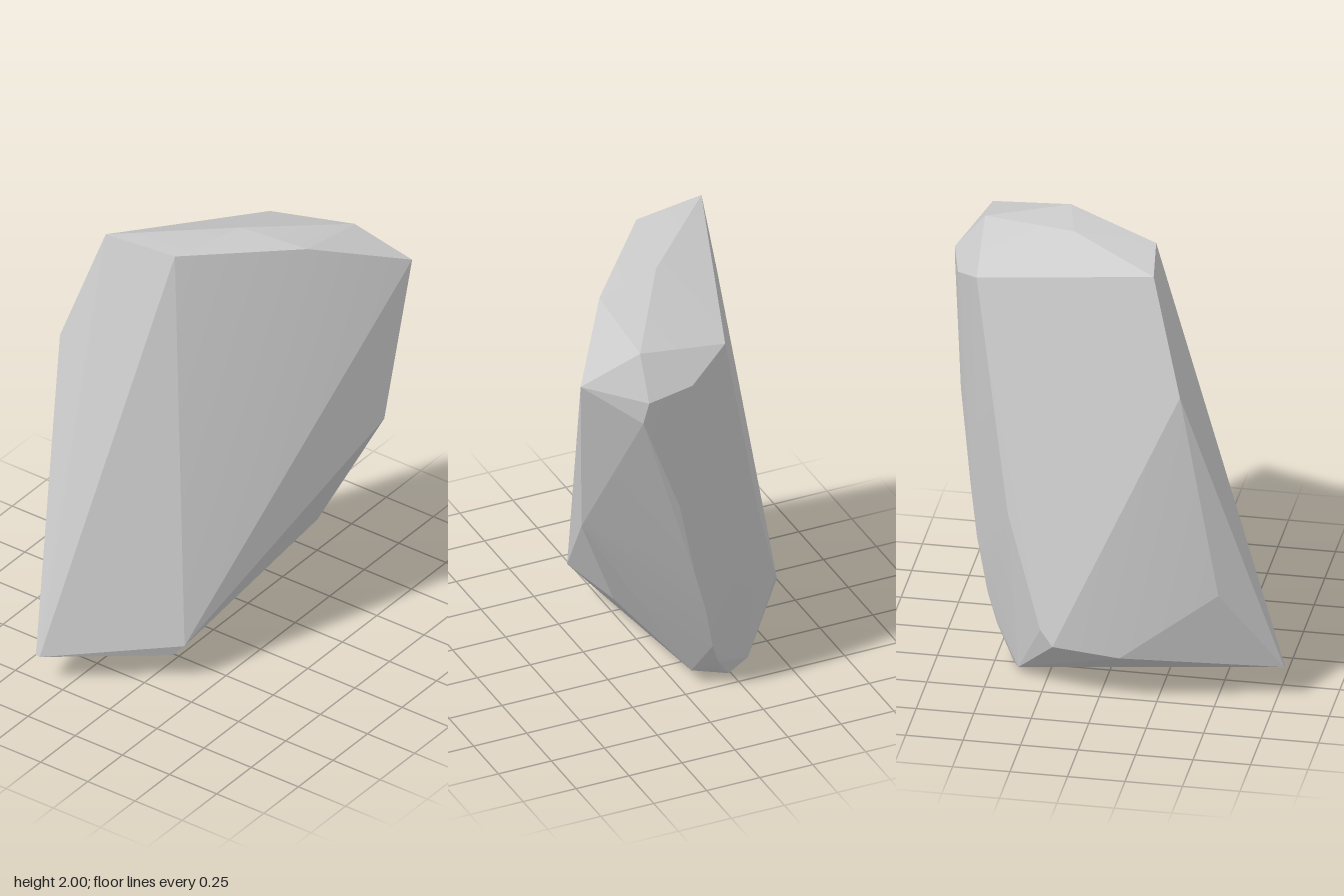
import * as THREE from 'three';
import { ConvexGeometry } from 'three/addons/geometries/ConvexGeometry.js';
import { toCreasedNormals } from 'three/addons/utils/BufferGeometryUtils.js';

// Corner points of the boulder, grouped by region
const crown = [
  [-0.41, 2, 0.22], [-0.08, 1.99, 0.17], [0.3, 1.94, -0.27], [0.57, 1.78, -0.66],
  [0, 1.97, -0.2], [0.28, 1.86, -0.64],
];
const backRim = [
  [-0.14, 1.78, -0.6], [0.07, 1.69, -0.72], [0.3, 1.69, -0.775], [0.33, 1.6, -0.78],
];
const backRidge = [
  [0.13, 1.1, -0.718], [0.03, 0.7, -0.658], [-0.04, 0.48, -0.617],
  [-0.1, 0.25, -0.56], [-0.15, 0.13, -0.51], [-0.17, 0.06, -0.462],
];
const leftFlank = [[0.51, 1, -0.54], [0.28, 0.48, -0.37]];
const rightFlank = [
  [-0.55, 1.5, 0.36], [-0.51, 0.54, 0.52], [-0.575, 0.26, -0.19],
  [-0.57, 0.23, 0.1], [-0.54, 0.32, -0.25], [-0.38, 0.78, -0.42],
];
const foot = [
  [-0.37, 0.15, 0.78], [-0.35, 0.145, 0.78], [0.14, 0.19, 0.4], [0.09, 0.135, 0.42],
  [-0.24, 0, -0.42], [-0.35, 0.03, -0.38], [-0.05, 0.08, -0.45],
];

export function createModel() {
  const group = new THREE.Group();
  group.name = 'rock';

  // Faceted boulder: the convex skin around its corners
  const corners = [crown, backRim, backRidge, leftFlank, rightFlank, foot]
    .flat()
    .map((p) => new THREE.Vector3(...p));
  const geometry = toCreasedNormals(new ConvexGeometry(corners), 0.17);
  const boulder = new THREE.Mesh(geometry, new THREE.MeshStandardMaterial({ color: 0xcccccc }));
  boulder.name = 'boulder';
  group.add(boulder);
  return group;
}
